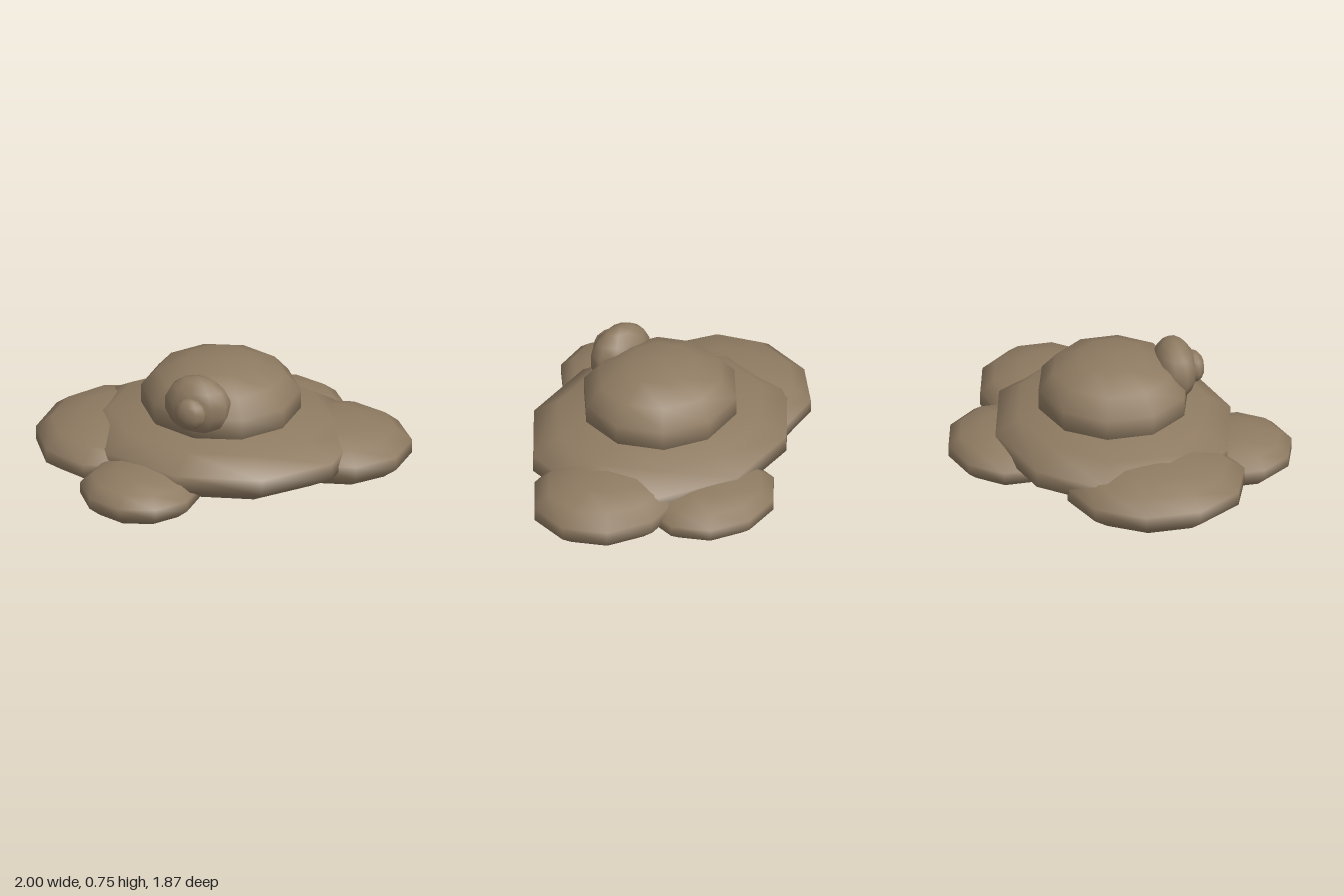
import * as THREE from 'three';

export function createModel() {
  const model = new THREE.Group();
  const clay = new THREE.MeshStandardMaterial({ color: 0x8f7b62 });
  clay.name = 'brownClay';

  // Coarse smooth ball with a corner on the z axis, squashed to three radii
  const ball = new THREE.SphereGeometry(1, 10, 7).rotateY(Math.PI / 2);
  function blob(name, [x, y, z], [rx, ry, rz]) {
    const geometry = ball.clone().scale(rx, ry, rz);
    const mesh = new THREE.Mesh(geometry, clay);
    mesh.name = name;
    mesh.position.set(x, y, z);
    model.add(mesh);
  }

  // Stacked mounds
  blob('baseMound', [0, 0.23, -0.03], [0.803, 0.215, 0.687]);
  blob('upperDome', [0, 0.467, -0.03], [0.458, 0.246, 0.436]);

  // Knob and its tip on the front of the dome
  blob('knob', [0, 0.573, 0.317], [0.195, 0.175, 0.123]);
  blob('knobTip', [0, 0.568, 0.428], [0.093, 0.09, 0.059]);

  // Flat lobes spreading around the base
  blob('frontLobe', [-0.23, 0.138, 0.6], [0.344, 0.138, 0.341]);
  blob('backLobe', [0.115, 0.138, -0.603], [0.399, 0.138, 0.346]);
  blob('rightLobe', [-0.575, 0.178, 0.08], [0.458, 0.17, 0.518]);
  blob('leftLobe', [0.575, 0.178, -0.262], [0.458, 0.17, 0.4]);

  return model;
}
